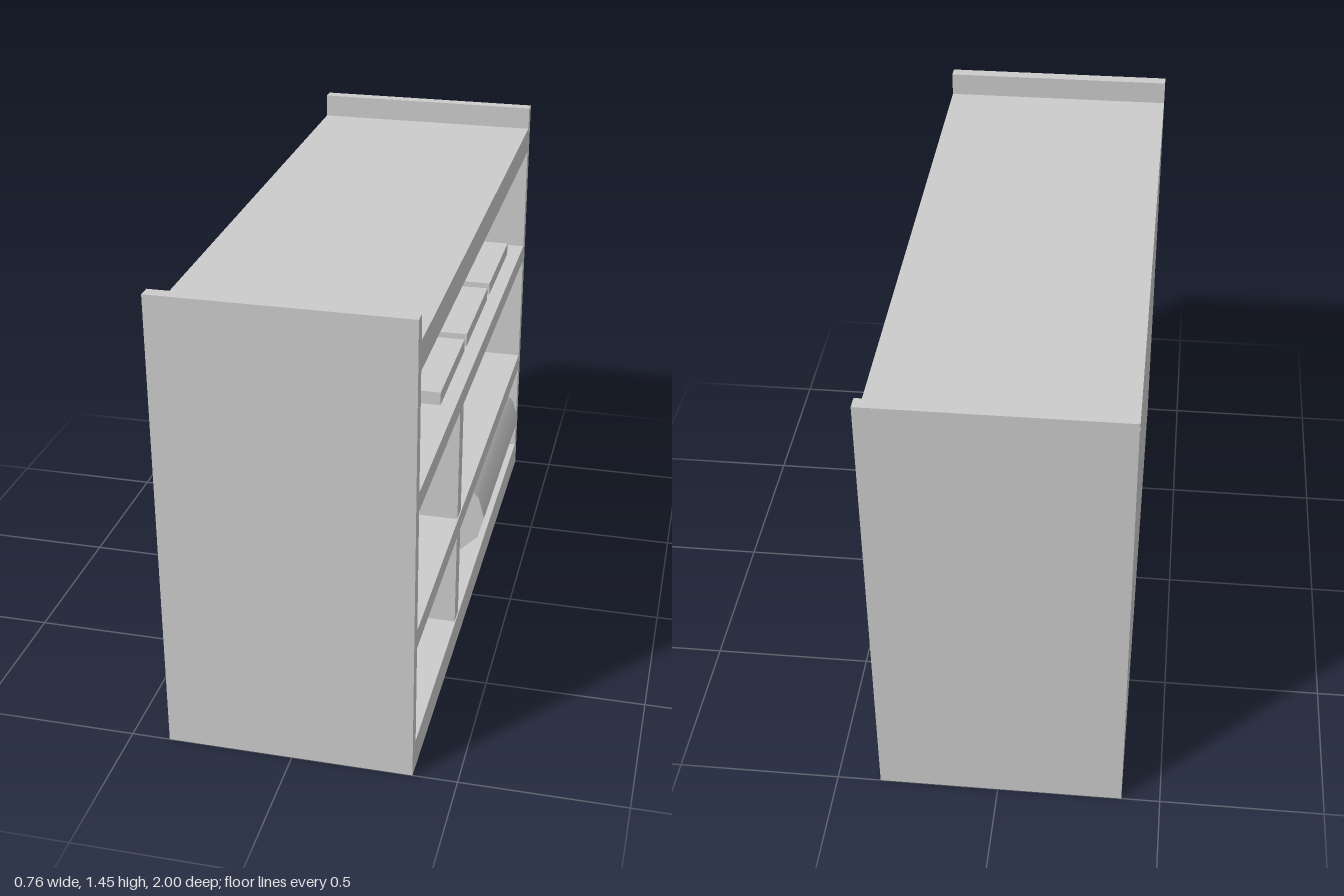
import * as THREE from 'three';

const BACK = -0.382, FRONT = 0.366, CAVITY_BACK = -0.275;

export function createModel() {
  const group = new THREE.Group();
  group.name = 'shelfUnit';
  const material = new THREE.MeshStandardMaterial({ color: 0xcccccc, side: THREE.DoubleSide });

  const add = (name, geometry, parent = group) => {
    const mesh = new THREE.Mesh(geometry, material);
    mesh.name = name;
    parent.add(mesh);
    return mesh;
  };

  // Box given by its minimum and maximum corners
  const box = (name, a, b) => {
    const mesh = add(name, new THREE.BoxGeometry(b[0] - a[0], b[1] - a[1], b[2] - a[2]));
    mesh.position.set((a[0] + b[0]) / 2, (a[1] + b[1]) / 2, (a[2] + b[2]) / 2);
    return mesh;
  };

  // Strip of walls along a side profile (u = -z, y) running between two depths
  const walls = (points, x0, x1) => {
    const pos = [];
    for (let i = 0; i < points.length - 1; i++) {
      const [au, ay] = points[i], [bu, by] = points[i + 1];
      const a = [au, ay, x0], b = [bu, by, x0], c = [bu, by, x1], d = [au, ay, x1];
      pos.push(...a, ...b, ...c, ...a, ...c, ...d);
    }
    const g = new THREE.BufferGeometry();
    g.setAttribute('position', new THREE.Float32BufferAttribute(pos, 3));
    g.computeVertexNormals();
    return g.rotateY(Math.PI / 2);
  };

  const vectors = (points) => points.map(([u, y]) => new THREE.Vector2(u, y));

  // Casing profile with raised ends, open underneath
  const outline = [
    [1, 0], [1, 1.45], [0.96, 1.45], [0.96, 1.375],
    [-0.96, 1.375], [-0.96, 1.45], [-1, 1.45], [-1, 0],
  ];
  const casing = new THREE.Group();
  casing.name = 'casing';
  group.add(casing);
  add('endsAndTop', walls(outline, BACK, FRONT), casing);

  const backPanel = new THREE.ShapeGeometry(new THREE.Shape(vectors(outline)));
  backPanel.rotateY(-Math.PI / 2).translate(BACK, 0, 0);
  add('backPanel', backPanel, casing);

  // Three recessed bays cut into the open face
  const face = new THREE.Shape(vectors(outline));
  for (const [name, y0, y1] of [['lowerBay', 0.095, 0.42], ['middleBay', 0.48, 0.867], ['upperBay', 0.925, 1.288]]) {
    const rim = [[-0.96, y0], [-0.96, y1], [0.96, y1], [0.96, y0]];
    face.holes.push(new THREE.Path(vectors(rim)));
    const bay = new THREE.Group();
    bay.name = name;
    group.add(bay);
    add(name + 'Walls', walls([...rim, rim[0]], CAVITY_BACK, FRONT), bay);
    const rear = new THREE.PlaneGeometry(1.92, y1 - y0).rotateY(Math.PI / 2);
    add(name + 'Rear', rear.translate(CAVITY_BACK, (y0 + y1) / 2, 0), bay);
  }
  const frame = new THREE.ShapeGeometry(face).rotateY(Math.PI / 2);
  add('faceFrame', frame.translate(FRONT, 0, 0), casing);

  // Upright divider through the two lower bays
  box('divider', [-0.335, 0, 0.26], [FRONT - 0.003, 0.9, 0.32]);

  // Flat trays on the upper shelf
  for (const z of [0.222, -0.22, -0.665]) {
    box('tray', [-0.22, 0.925, z - 0.2], [0.32, 0.967, z + 0.2]);
  }

  // Roll lying in the lower bay
  const roll = add('roll', new THREE.CylinderGeometry(0.155, 0.155, 0.775, 12).rotateX(Math.PI / 2));
  roll.position.set(0.227, 0.24, -0.502);

  return group;
}
